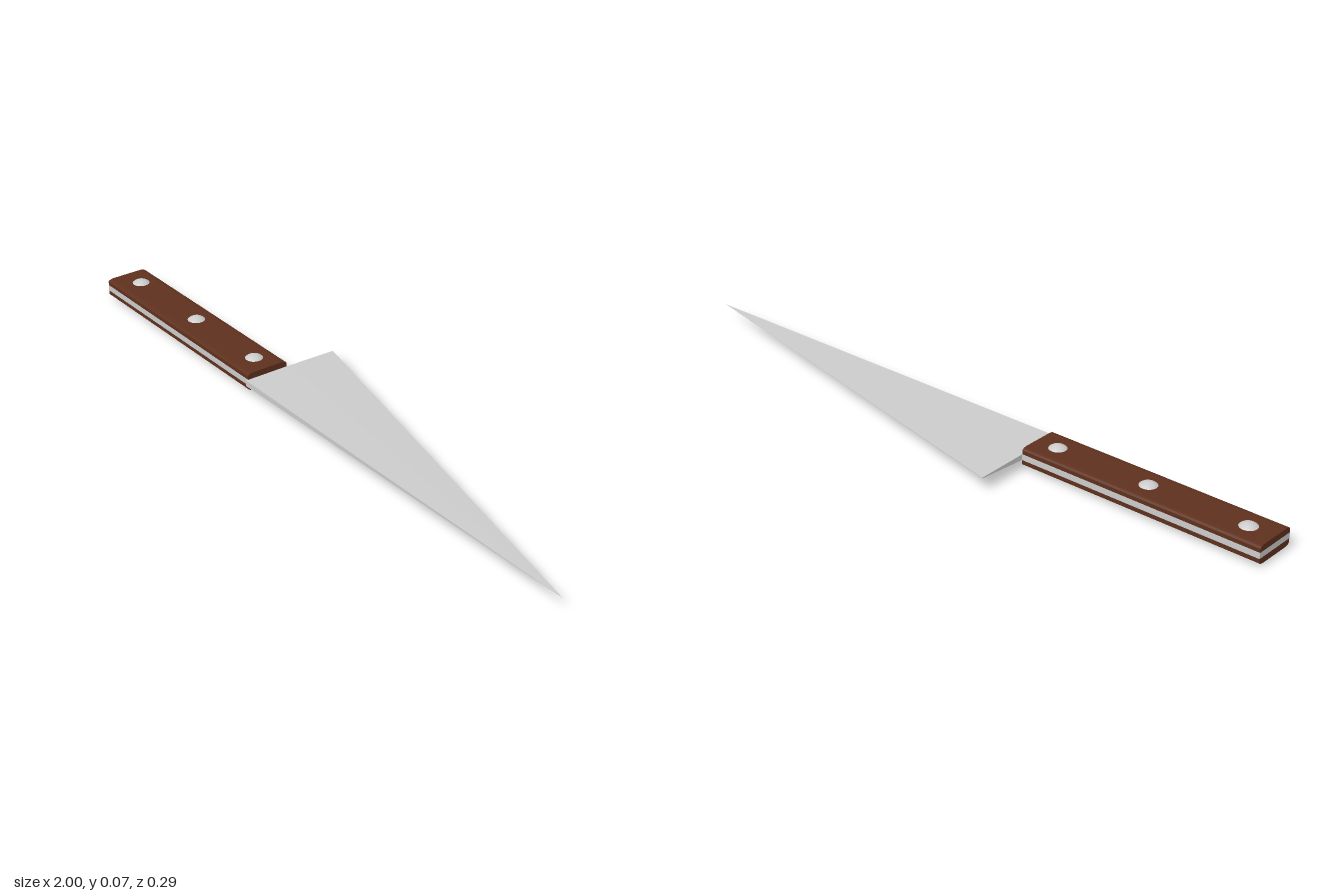
import * as THREE from 'three';

const steel = new THREE.MeshStandardMaterial({ color: 0xcccccc });
const bladeSteel = new THREE.MeshStandardMaterial({ color: 0xcccccc, flatShading: true });
const wood = new THREE.MeshStandardMaterial({ color: 0x5e301d });

const MID_Y = 0.0365;   // mid-plane of the tang
const HANDLE_Z = 0.076; // centre line of the handle
const BUTT = -1, HEEL = -0.27;

// Blade: a bevelled heel section drawn out to a single point
function bladeGeometry() {
  const heel = [[0.045, 0.147], [0.028, 0.147], [0.029, 0], [0.04, -0.147], [0.042, -0.147], [0.0445, 0]]
    .map(([y, z]) => [HEEL, y, z]);
  const tip = [1, 0.041, 0.147];
  const pos = [];
  heel.forEach((p, i) => {
    const q = heel[(i + 1) % heel.length];
    pos.push(...p, ...q, ...tip);
    if (i > 0 && i < heel.length - 1) pos.push(...heel[0], ...q, ...p);
  });
  const g = new THREE.BufferGeometry();
  g.setAttribute('position', new THREE.Float32BufferAttribute(pos, 3));
  g.computeVertexNormals();
  return g;
}

// Wooden scale: flat inside, rounded outer corners, run along x
function scaleGeometry() {
  const w = 0.064, y0 = 0.0085, y1 = 0.0265;
  const s = new THREE.Shape();
  s.moveTo(-w, y0);
  s.lineTo(w, y0);
  s.lineTo(w, y1 - 0.007);
  s.quadraticCurveTo(w - 0.002, y1 - 0.001, w - 0.018, y1);
  s.lineTo(-w + 0.018, y1);
  s.quadraticCurveTo(-w + 0.002, y1 - 0.001, -w, y1 - 0.007);
  s.closePath();
  const g = new THREE.ExtrudeGeometry(s, { depth: HEEL - BUTT, bevelEnabled: false, curveSegments: 5 });
  return g.translate(0, 0, (BUTT - HEEL) / 2).rotateY(Math.PI / 2);
}

export function createModel() {
  const model = new THREE.Group();
  model.name = 'knife';
  const add = (name, geometry, material, x, y, z) => {
    const mesh = new THREE.Mesh(geometry, material);
    mesh.name = name;
    mesh.position.set(x, y, z);
    model.add(mesh);
    return mesh;
  };

  add('blade', bladeGeometry(), bladeSteel, 0, 0, 0);

  const handleX = (BUTT + HEEL) / 2;
  add('tang', new THREE.BoxGeometry(HEEL - BUTT, 0.017, 0.129), steel, handleX, MID_Y, HANDLE_Z);

  // Scales and domed rivets on both faces of the tang
  const scale = scaleGeometry();
  const dome = new THREE.SphereGeometry(0.0365, 24, 8, 0, Math.PI * 2, 0, 0.8);
  for (const [side, turn] of [['upper', 0], ['lower', Math.PI]]) {
    add(side + 'Scale', scale, wood, handleX, MID_Y, HANDLE_Z).rotation.x = turn;
    [-0.925, -0.627, -0.338].forEach((x, i) => {
      add(side + 'Rivet' + (i + 1), dome, steel, x, MID_Y, 0.073).rotation.x = turn;
    });
  }
  return model;
}
